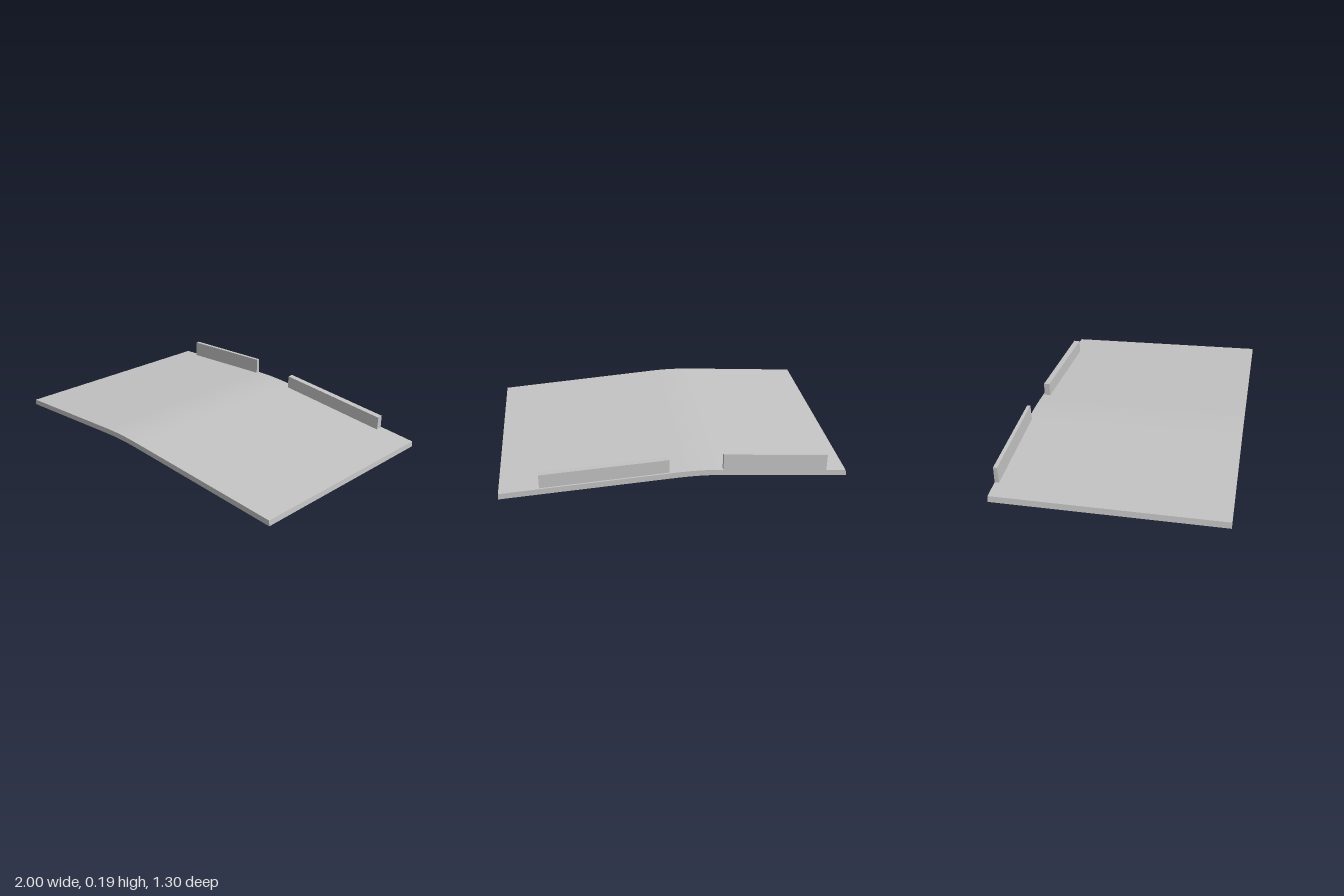
import * as THREE from 'three';
import { toCreasedNormals } from 'three/addons/utils/BufferGeometryUtils.js';

const lerp = THREE.MathUtils.lerp;

// Closed solid through four-cornered rings, ordered back-bottom, back-top, front-top, front-bottom
function loft(rings) {
  const index = [];
  for (let r = 0; r < rings.length - 1; r++) {
    for (let i = 0; i < 4; i++) {
      const a = r * 4 + i, b = r * 4 + (i + 1) % 4;
      index.push(a, b, b + 4, a, b + 4, a + 4);
    }
  }
  const e = (rings.length - 1) * 4;
  index.push(0, 3, 2, 0, 2, 1, e, e + 1, e + 2, e, e + 2, e + 3);
  const geometry = new THREE.BufferGeometry();
  geometry.setAttribute('position', new THREE.Float32BufferAttribute(rings.flat(2), 3));
  geometry.setIndex(index);
  return toCreasedNormals(geometry, 0.5);
}

// Height of the panel's front top edge: two straight slopes joined by a soft ridge
function ridgeHeight(t) {
  const left = (u) => lerp(0.086, 0.156, u / 0.43);
  const right = (u) => lerp(0.156, 0.096, (u - 0.43) / 0.57);
  if (t < 0.36) return left(t);
  if (t > 0.5) return right(t);
  const s = (t - 0.36) / 0.14;
  return (1 - s) ** 2 * left(0.36) + 2 * s * (1 - s) * 0.156 + s * s * right(0.5);
}

// One slice of the panel, t running from its right end (-x) to its left end (+x)
function panelRing(t) {
  const y = ridgeHeight(t), drop = 0.053, thick = 0.033;
  const shift = 0.007 * (1 - 2 * t) * (t < 0.5 ? 1 : 0.3);
  const xb = lerp(-0.935, 0.995, t), xf = lerp(-1, 0.943, t);
  const zb = lerp(-0.652, -0.597, t), zf = 0.645;
  return [
    [xb, y - drop - thick, zb], [xb + shift, y - drop, zb],
    [xf + shift, y, zf], [xf, y - thick, zf],
  ];
}

// Upright rail between two ends, each given as x, back z, front z, bottom y, top y
function rail(ends) {
  return loft(ends.map(([x, zb, zf, y0, y1]) => [
    [x, y0, zb], [x, y1, zb], [x, y1, zf - 0.004], [x, y0, zf],
  ]));
}

export function createModel() {
  const group = new THREE.Group();
  const grey = new THREE.MeshStandardMaterial({ color: 0xc4c4c4 });
  grey.name = 'light grey';

  const add = (name, geometry) => {
    const mesh = new THREE.Mesh(geometry, grey);
    mesh.name = name;
    group.add(mesh);
  };

  // Bent panel
  const steps = [0];
  for (let i = 0; i <= 8; i++) steps.push(0.36 + 0.14 * i / 8);
  steps.push(1);
  add('bentPanel', loft(steps.map(panelRing)));

  // Rails standing along the back edge
  add('rightRail', rail([
    [-0.815, -0.649, -0.623, 0.035, 0.14],
    [-0.227, -0.632, -0.609, 0.08, 0.187],
  ]));
  add('leftRail', rail([
    [0.07, -0.614, -0.576, 0.075, 0.172],
    [0.775, -0.594, -0.554, 0.045, 0.135],
  ]));
  return group;
}
